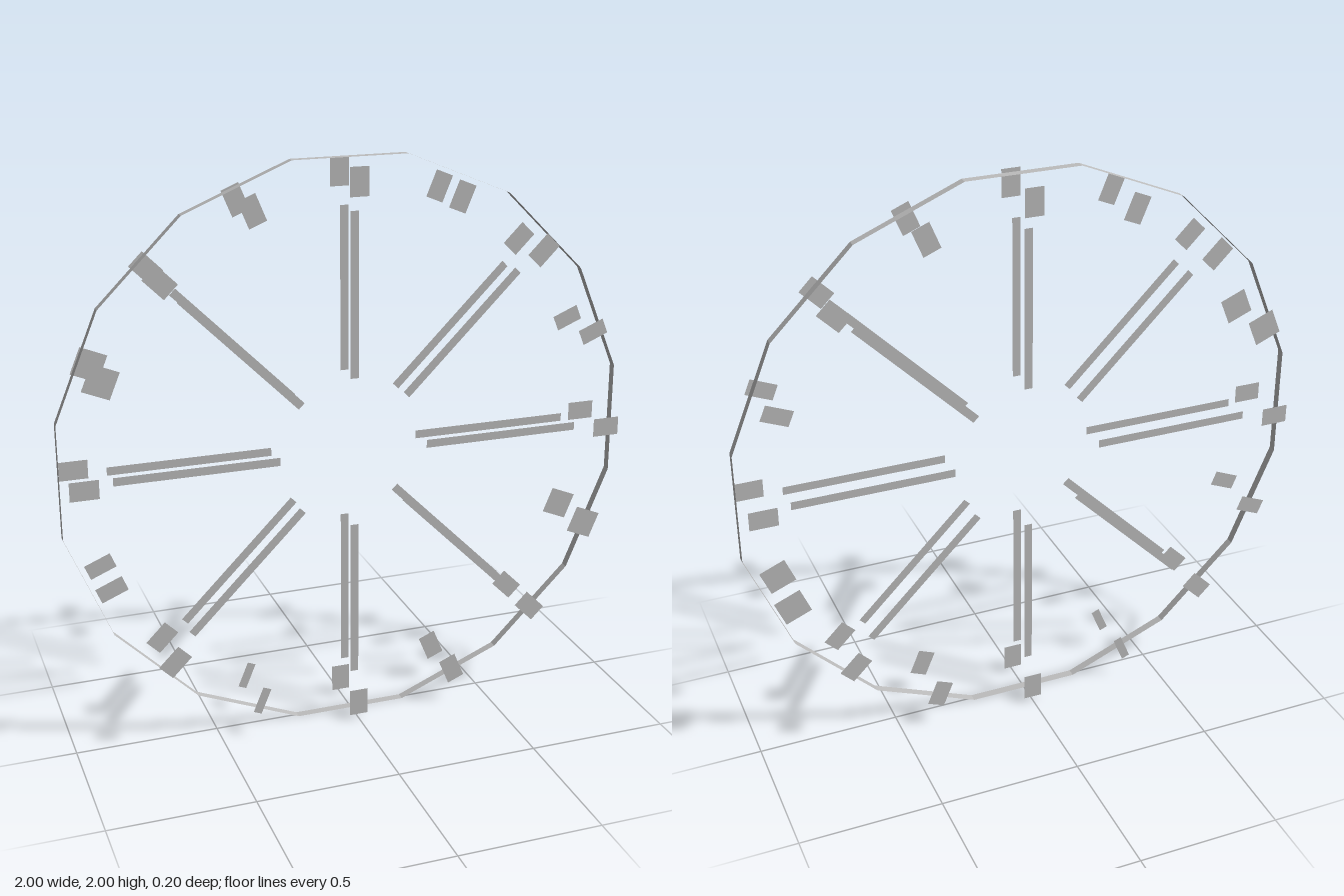
import * as THREE from 'three';

export function createModel() {
  const group = new THREE.Group();
  const grey = new THREE.MeshStandardMaterial({ color: 0xbcbcbc, side: THREE.DoubleSide, flatShading: true });
  grey.name = 'grey';

  // Open sixteen-sided rim band, with a flat side at the top
  const sides = 16;
  const rimRadius = 1 / Math.cos(Math.PI / sides);
  const rimGeometry = new THREE.CylinderGeometry(rimRadius, rimRadius, 0.03, sides, 1, true);
  rimGeometry.rotateY(Math.PI / sides).rotateX(Math.PI / 2);
  const rim = new THREE.Mesh(rimGeometry, grey);
  rim.name = 'rim';
  rim.position.y = 1;
  group.add(rim);

  // Flat plate lying along a radius of the wheel
  function radialPlate(name, angle, inner, outer, width, z) {
    const plate = new THREE.Mesh(new THREE.PlaneGeometry(outer - inner, width), grey);
    const r = (inner + outer) / 2;
    plate.name = name;
    plate.position.set(r * Math.cos(angle), 1 + r * Math.sin(angle), z);
    plate.rotation.z = angle;
    group.add(plate);
  }

  // Plate widths counter-clockwise from +x
  const widths = [0.066, 0.056, 0.066, 0.064, 0.066, 0.064, 0.066, 0.096,
    0.066, 0.056, 0.066, 0.031, 0.066, 0.064, 0.066, 0.096];

  for (const side of [1, -1]) {
    // Outer plates, one in the middle of each rim side
    widths.forEach((width, i) =>
      radialPlate('rimPlate', i * Math.PI / 8, 0.886, 0.983, width, side * 0.098));
    // Spokes
    for (let i = 0; i < 8; i++) {
      radialPlate('spoke', i * Math.PI / 4, 0.265, 0.832, 0.029, side * 0.052);
    }
  }
  return group;
}
